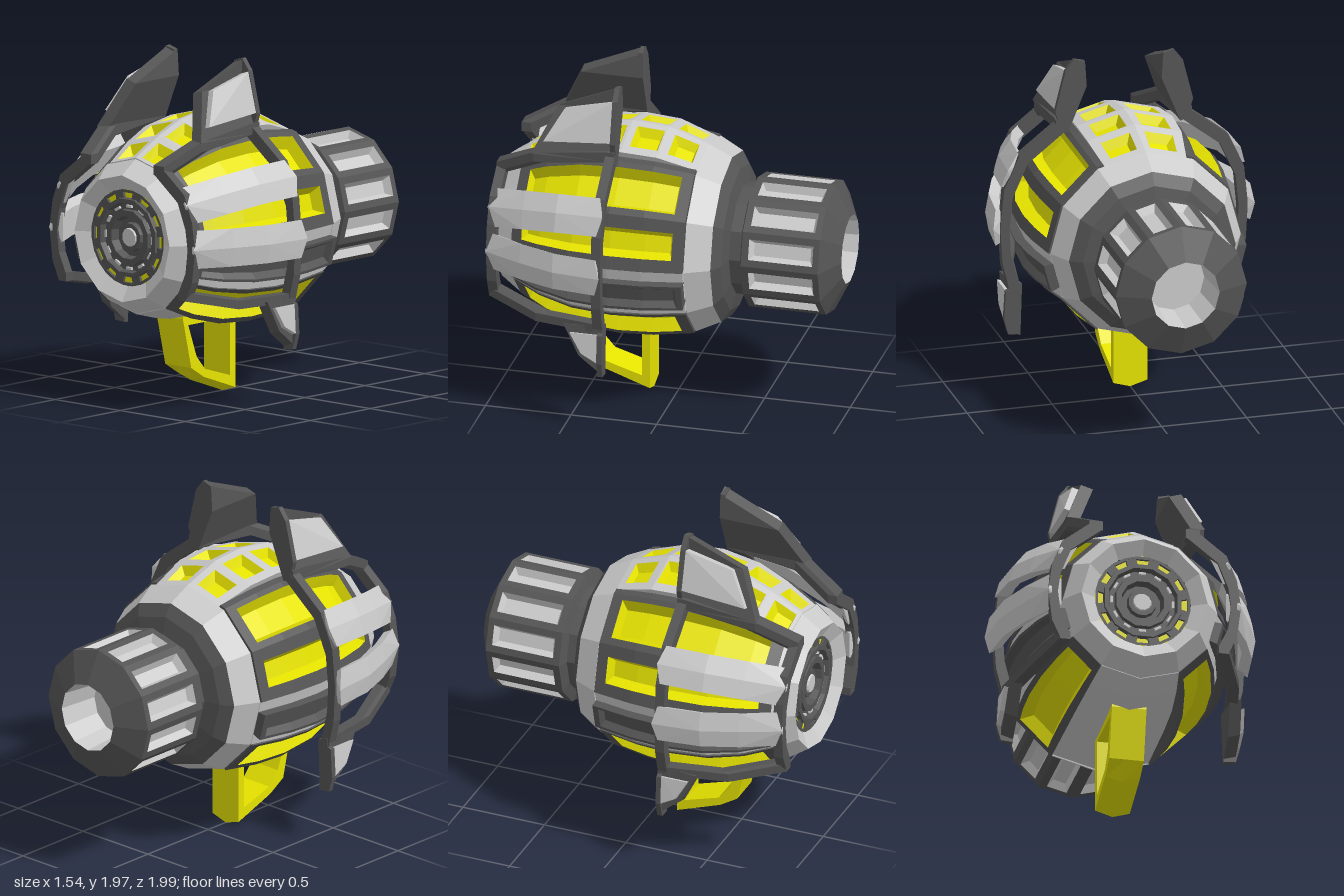
import * as THREE from 'three';
import { ConvexGeometry } from 'three/addons/geometries/ConvexGeometry.js';

const CY = 0.985; // height of the long axis
const mat = (color) => new THREE.MeshStandardMaterial({ color, flatShading: true });
const V = (x, y, z) => new THREE.Vector3(x, y, z);
const clamp = THREE.MathUtils.clamp;

// Point on a 12-sided ring: angle in degrees from the top towards +x
function ringPoint(a, r, z) {
  const m = ((a % 30) + 30) % 30;
  const R = r * Math.cos(Math.PI / 12) / Math.cos((m - 15) * Math.PI / 180);
  const t = a * Math.PI / 180;
  return V(R * Math.sin(t), CY + R * Math.cos(t), z);
}

// Linear interpolation of a [z, r] profile
function radiusAt(profile, z) {
  for (let i = 1; i < profile.length; i++) {
    const [z0, r0] = profile[i - 1], [z1, r1] = profile[i];
    if (z <= z1) return r0 + (r1 - r0) * (z - z0) / (z1 - z0);
  }
  return profile[profile.length - 1][1];
}

// Quad wound so that it faces along the hint
function quad(out, a, b, c, d, hint) {
  const n = c.clone().sub(a).cross(d.clone().sub(b));
  const q = n.dot(hint) >= 0 ? [a, b, c, a, c, d] : [a, c, b, a, d, c];
  q.forEach((p) => out.push(p.x, p.y, p.z));
}

export function createModel() {
  const model = new THREE.Group();
  const grey = mat(0xcccccc), dark = mat(0x555555), yellow = mat(0xe6e300);

  const add = (geo, material, name, parent = model) => {
    const mesh = new THREE.Mesh(geo, material);
    mesh.name = name;
    parent.add(mesh);
    return mesh;
  };
  const lathe = (pts, material, name, turn = 0) => {
    const geo = new THREE.LatheGeometry(pts.map(([r, z]) => new THREE.Vector2(r, z)), 12);
    geo.rotateX(Math.PI / 2).rotateZ(turn).translate(0, CY, 0);
    return add(geo, material, name);
  };

  // Faceted panel with sunken, tapered windows; windows are [angle0, angle1, z0, z1]
  function panel(name, profile, angles, windows, skin, inset, depth, skirt) {
    const uniq = (list) => [...new Set(list)].sort((a, b) => a - b);
    const as = uniq([...angles, ...windows.flatMap((w) => [w[0], w[1]])]);
    const zs = uniq([...profile.map((p) => p[0]), ...windows.flatMap((w) => [w[2], w[3]])]);
    const inside = (i, j) => i >= 0 && j >= 0 && i < as.length - 1 && j < zs.length - 1;
    const windowAt = (i, j) => {
      const a = (as[i] + as[i + 1]) / 2, z = (zs[j] + zs[j + 1]) / 2;
      return windows.find((w) => a > w[0] && a < w[1] && z > w[2] && z < w[3]);
    };
    const P = (i, j, w, drop) => {
      const a = w ? clamp(as[i], w[0] + 2.5, w[1] - 2.5) : as[i];
      const z = w ? clamp(zs[j], w[2] + 0.022, w[3] - 0.022) : zs[j];
      return ringPoint(a, radiusAt(profile, z) - drop, z);
    };
    const skinPos = [], insetPos = [];
    for (let i = 0; i < as.length - 1; i++) for (let j = 0; j < zs.length - 1; j++) {
      const own = windowAt(i, j);
      const c = [[i, j], [i + 1, j], [i + 1, j + 1], [i, j + 1]];
      const p = c.map(([u, v]) => P(u, v, own, own ? depth : 0));
      const mid = p.reduce((s, q) => s.add(q), V(0, 0, 0)).multiplyScalar(0.25);
      quad(own ? insetPos : skinPos, ...p, V(mid.x, mid.y - CY, 0));
      if (own) continue;
      [[i, j - 1], [i + 1, j], [i, j + 1], [i - 1, j]].forEach(([u, v], k) => {
        const w = inside(u, v) ? windowAt(u, v) : undefined, k1 = (k + 1) % 4;
        if (inside(u, v) && !w) return;
        const hint = p[k].clone().add(p[k1]).multiplyScalar(0.5).sub(mid);
        const drop = w ? depth : skirt;
        quad(w ? insetPos : skinPos, p[k], p[k1], P(...c[k1], w, drop), P(...c[k], w, drop), hint);
      });
    }
    const group = new THREE.Group();
    group.name = name;
    model.add(group);
    [[skinPos, skin, name + 'Frame'], [insetPos, inset, name + 'Inset']].forEach(([pos, m, n]) => {
      if (!pos.length) return;
      const geo = new THREE.BufferGeometry();
      geo.setAttribute('position', new THREE.Float32BufferAttribute(pos, 3));
      geo.computeVertexNormals();
      add(geo, m, n, group);
    });
  }

  // Inner hull, collar and front lip
  lathe([[0.49, -0.31], [0.56, -0.17], [0.47, -0.16], [0.5, 0.07], [0.5, 0.5],
    [0.42, 0.7], [0.36, 0.86], [0.45, 0.86], [0.365, 0.985], [0.28, 0.935]], grey, 'hull');
  lathe([[0.32, -0.47], [0.32, -0.375]], dark, 'neck');
  lathe([[0.32, -0.375], [0.42, -0.355], [0.49, -0.31]], dark, 'collarBack');

  // Rear drum with windows and a hollow end
  const drumWindows = [];
  for (let a = 0; a < 360; a += 30) drumWindows.push([a + 6, a + 24, -0.875, -0.5]);
  const all = Array.from({ length: 13 }, (_, i) => i * 30);
  panel('drum', [[-0.91, 0.385], [-0.46, 0.385]], all, drumWindows, dark, grey, 0.045, 0.06);
  lathe([[0.2, -1], [0.385, -0.91]], dark, 'drumEnd');
  lathe([[0.385, -0.46], [0.32, -0.44]], dark, 'drumShoulder');
  lathe([[0, -0.75], [0.18, -0.75], [0.2, -1]], grey, 'exhaust');

  // Raised top panel with two rows of windows
  const topWindows = [];
  for (const [z0, z1] of [[-0.13, 0.01], [0.07, 0.23], [0.29, 0.45], [0.51, 0.665], [0.72, 0.85]])
    topWindows.push([4, 20.5, z0, z1], [-20.5, -4, z0, z1]);
  panel('topPanel', [[-0.17, 0.56], [0.06, 0.64], [0.27, 0.655], [0.5, 0.62], [0.68, 0.55], [0.87, 0.45]],
    [-26, 0, 26], topWindows, grey, yellow, 0.05, 0.12);

  // Side panels and slots
  const side = [[-0.165, 0.57], [0.07, 0.605], [0.27, 0.615], [0.5, 0.595], [0.7, 0.535], [0.865, 0.45]];
  const offset = (d) => side.map(([z, r]) => [z, r + d]);
  for (const s of [1, -1]) {
    const name = s > 0 ? 'left' : 'right';
    const A = (list) => list.map((a) => a * s);
    const W = (a0, a1, z0, z1) => [Math.min(a0 * s, a1 * s), Math.max(a0 * s, a1 * s), z0, z1];
    panel(name + 'UpperPanel', side, A([26, 30, 60, 90]),
      [W(33, 56, -0.1, 0.8), W(67, 83, -0.1, 0.8)], dark, yellow, 0.075, 0.12);
    panel(name + 'MiddlePanel', offset(-0.01), A([90, 120]), [], grey, grey, 0.04, 0.1);
    panel(name + 'Vent', offset(0.045), A([97, 113]), [W(98.5, 111.5, -0.13, 0.83)], dark, dark, 0.035, 0.1);
    panel(name + 'LowerPanel', side, A([120, 150]), [W(123, 146, -0.1, 0.8)], dark, yellow, 0.075, 0.12);
  }
  panel('bottomPanel', [[-0.165, 0.555], [0.27, 0.545], [0.5, 0.53], [0.7, 0.495], [0.865, 0.45]],
    [150, 180, 210], [], grey, grey, 0.04, 0.06);

  // Front: ring of lit windows around stepped dark rings
  const turn = Math.PI / 12;
  lathe([[0.29, 0.92], [0.22, 0.92]], yellow, 'windowRing', turn);
  lathe([[0.285, 0.938], [0.268, 0.938], [0.268, 0.92]], dark, 'windowRim', turn);
  lathe([[0.235, 0.92], [0.23, 0.95], [0.205, 0.95], [0.195, 0.915], [0.165, 0.915], [0.16, 0.94], [0.125, 0.94],
    [0.115, 0.89], [0.085, 0.89], [0.08, 0.92], [0.055, 0.92]], dark, 'frontRings', turn);
  lathe([[0.057, 0.915], [0.05, 0.93], [0, 0.93]], grey, 'frontHub', turn);
  for (let i = 0; i < 12; i++) {
    const spoke = add(new THREE.BoxGeometry(0.06, 0.06, 0.03), dark, 'windowSpoke');
    const light = add(new THREE.BoxGeometry(0.04, 0.014, 0.015), grey, 'frontMarker');
    [[spoke, 0.252, 15], [light, 0.178, 0]].forEach(([m, r, a0]) => {
      const t = (i * 30 + a0) * Math.PI / 180;
      m.position.set(r * Math.sin(t), CY + r * Math.cos(t), 0.922);
      m.rotation.z = -t;
    });
  }

  // Claw frames, mirrored left and right
  for (const s of [1, -1]) {
    const wing = new THREE.Group();
    wing.name = s > 0 ? 'leftWing' : 'rightWing';
    model.add(wing);
    const hull = (pts, m, name) => add(new ConvexGeometry(pts.map(([x, y, z]) => V(s * x, y, z))), m, name, wing);
    const strut = (path, h, name) => {
      for (let i = 1; i < path.length; i++) {
        const pts = [];
        for (const p of [path[i - 1], path[i]]) for (let k = 0; k < 8; k++)
          pts.push(p.map((v, n) => v + ((k >> n) & 1 ? h[n] : -h[n])));
        hull(pts, dark, name);
      }
    };
    const slab = (pts, t, m, name) => hull([...pts, ...pts.map(([x, y, z]) => [x + t, y + t * 0.3, z])], m, name);
    const rearEdge = (pts, name) => hull(pts.flatMap(([x, y]) => [[x, y, 0.27], [x, y, 0.3]]), dark, name);

    strut([[0.36, 1.57, 0.3], [0.59, 1.39, 0.3], [0.68, 1.19, 0.3], [0.7, 0.98, 0.3], [0.69, 0.8, 0.3], [0.65, 0.64, 0.3]],
      [0.025, 0.025, 0.028], 'rearHoop');
    strut([[0.27, 1.41, 0.955], [0.45, 1.27, 0.955], [0.51, 1.12, 0.955], [0.53, 0.98, 0.955], [0.51, 0.82, 0.955], [0.46, 0.71, 0.955]],
      [0.025, 0.025, 0.028], 'frontHoop');
    strut([[0.36, 1.58, 0.3], [0.355, 1.53, 0.72], [0.28, 1.41, 0.955]], [0.04, 0.028, 0.028], 'upperArm');
    strut([[0.65, 0.64, 0.3], [0.585, 0.64, 0.65], [0.46, 0.71, 0.955]], [0.03, 0.025, 0.028], 'lowerArm');

    // Upper blade: dark plate in two bends, grey outer face, closed rear edge
    slab([[0.23, 1.95, 0.27], [0.22, 1.8, 0.27], [0.22, 1.8, 0.63]], 0.065, dark, 'upperBlade');
    slab([[0.22, 1.8, 0.27], [0.22, 1.8, 0.63], [0.33, 1.53, 0.76], [0.33, 1.53, 0.27]], 0.07, dark, 'upperBlade');
    slab([[0.29, 1.88, 0.3], [0.28, 1.81, 0.58], [0.35, 1.62, 0.69], [0.35, 1.65, 0.3]], 0.05, grey, 'upperBladeFace');
    rearEdge([[0.23, 1.95], [0.295, 1.965], [0.345, 1.9], [0.405, 1.66], [0.37, 1.54], [0.22, 1.8]], 'upperBladeRear');

    // Lower blade
    slab([[0.61, 0.33, 0.27], [0.61, 0.44, 0.41], [0.6, 0.62, 0.5], [0.6, 0.64, 0.27]], 0.07, dark, 'lowerBlade');
    slab([[0.655, 0.42, 0.3], [0.655, 0.47, 0.39], [0.645, 0.59, 0.46], [0.645, 0.59, 0.3]], 0.05, grey, 'lowerBladeFace');
    rearEdge([[0.61, 0.335], [0.68, 0.34], [0.705, 0.43], [0.695, 0.6], [0.6, 0.64]], 'lowerBladeRear');

    // Two ridged claws bending in towards the front
    const stations = [[0.27, 0.768], [0.55, 0.738], [0.76, 0.66], [0.99, 0.555]];
    for (const a of [63, 90]) {
      const t = a * Math.PI / 180, sn = Math.sin(t), cs = Math.cos(t);
      const section = ([z, r], i) => [[0, 0], [-0.02, 0.11], [-0.02, -0.11], [-0.08, 0.08], [-0.08, -0.08]].map(([dr, w], k) =>
        [(r + dr) * sn - w * cs, CY + (r + dr) * cs + w * sn, z + (k && i === 0 ? 0.03 : 0) - (k && i === 3 ? 0.03 : 0)]);
      for (let i = 1; i < stations.length; i++)
        hull([...section(stations[i - 1], i - 1), ...section(stations[i], i)], grey, 'claw');
    }
  }

  // Handle below the hull, its foot creased along the middle
  const P2 = (list) => list.map(([x, y]) => new THREE.Vector2(x, y));
  const shape = new THREE.Shape(P2([[0.145, 0], [0.145, 0.52], [0.58, 0.52], [0.585, 0.48], [0.515, 0.19], [0.41, 0.095]]));
  shape.holes.push(new THREE.Path(P2([[0.19, 0.105], [0.4, 0.17], [0.47, 0.25], [0.54, 0.44], [0.19, 0.44]])));
  const handle = new THREE.ExtrudeGeometry(shape, { depth: 0.2, steps: 2, bevelEnabled: false });
  handle.translate(0, 0, -0.1).rotateY(-Math.PI / 2);
  const pos = handle.attributes.position;
  for (let i = 0; i < pos.count; i++)
    if (Math.abs(pos.getX(i)) > 0.05 && pos.getY(i) < 0.1) pos.setY(i, pos.getY(i) + 0.03);
  add(handle, yellow, 'handle');

  return model;
}
